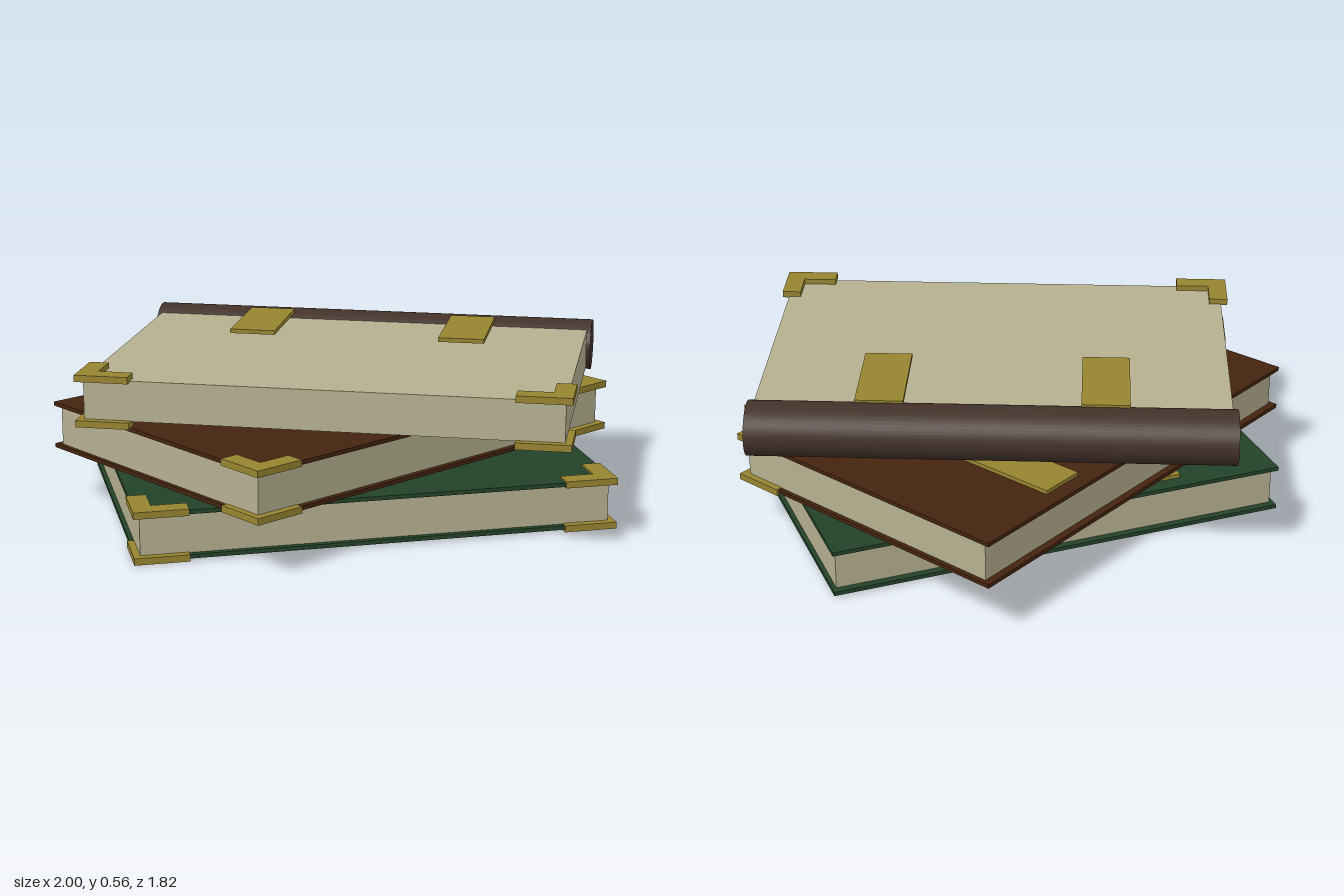
import * as THREE from 'three';

const mat = (name, color) => new THREE.MeshStandardMaterial({ name, color });

export function createModel() {
  const paper = mat('paper', 0xb5b090);
  const brass = mat('brass', 0x978430);
  const green = mat('green cover', 0x234229);
  const brown = mat('brown cover', 0x452410);
  const leather = mat('spine leather', 0x43322a);

  // Cover half sizes shared by the three books
  const HX = 0.81, HZ = 0.555;

  const addBox = (parent, name, material, [w, h, d], [x, y, z]) => {
    const mesh = new THREE.Mesh(new THREE.BoxGeometry(w, h, d), material);
    mesh.name = name;
    mesh.position.set(x, y, z);
    parent.add(mesh);
    return mesh;
  };

  // L-shaped plate whose outer corner lies at the origin, arms towards -x and -z
  const cornerGeometry = (side) => {
    const L = 0.182, W = 0.066;
    const pts = [[0, 0], [-L, 0], [-L, W], [-W, W], [-W, L], [0, L]];
    const shape = new THREE.Shape(pts.map(([x, y]) => new THREE.Vector2(x * side, y)));
    const geo = new THREE.ExtrudeGeometry(shape, { depth: 0.023, bevelEnabled: false });
    return geo.rotateX(-Math.PI / 2);
  };

  function book(name, cover) {
    const g = new THREE.Group();
    g.name = name;
    addBox(g, 'pages', paper, [1.59, 0.138, 1.065], [0, 0.09, 0.003]);
    if (cover) {
      addBox(g, 'bottomCover', cover, [HX * 2, 0.014, HZ * 2], [0, 0.014, 0]);
      addBox(g, 'topCover', cover, [HX * 2, 0.014, HZ * 2], [0, 0.165, 0]);
    }
    for (const side of [-1, 1]) {
      // Brass corner guards on the fore edge, below and above
      for (const y of [0, 0.155]) {
        const corner = new THREE.Mesh(cornerGeometry(side), brass);
        corner.name = 'cornerGuard';
        corner.position.set(side * (HX + 0.008), y, HZ + 0.008);
        g.add(corner);
      }
      // Brass straps near the spine
      addBox(g, 'strap', brass, [0.162, 0.015, 0.36], [side * 0.375, 0.178, -0.32]);
    }
    return g;
  }

  const model = new THREE.Group();
  model.name = 'bookStack';

  const bottom = book('bottomBook', green);
  bottom.position.set(-0.01, 0, 0.055);

  const middle = book('middleBook', brown);
  middle.position.set(-0.025, 0.186, -0.035);
  middle.rotation.y = 0.507;

  const top = book('topBook', null);
  top.position.set(0.007, 0.372, 0.07);
  top.rotation.y = -0.407;

  // Rounded leather spine of the top book, slightly flattened
  const spineGeo = new THREE.CylinderGeometry(0.09, 0.09, HX * 2, 48);
  spineGeo.rotateZ(Math.PI / 2).scale(1, 1, 1.14);
  const spine = new THREE.Mesh(spineGeo, leather);
  spine.name = 'spine';
  spine.position.set(0, 0.091, -0.53);
  top.add(spine);

  model.add(bottom, middle, top);
  return model;
}
